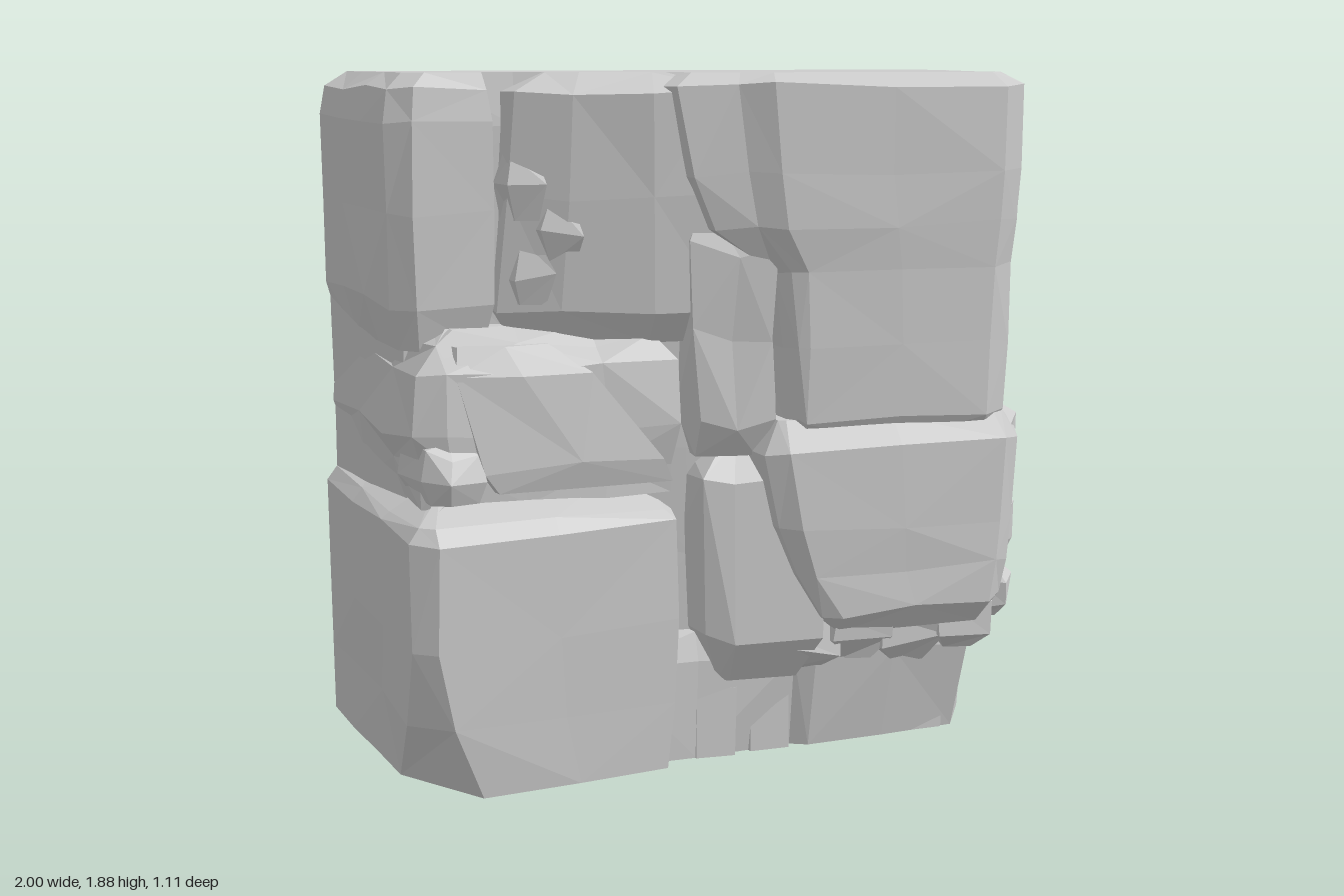
import * as THREE from 'three';

const BACK = -0.56;
const lerp = THREE.MathUtils.lerp;

function seeded(seed) {
  let s = seed * 7919 + 17;
  return () => ((s = (s * 16807) % 2147483647) / 2147483647) * 2 - 1;
}

// Split every edge of a pair of matching outlines into short pieces
function subdivide(low, high, step) {
  const out = [];
  low.forEach((p, i) => {
    const k = (i + 1) % low.length, q = low[k];
    const flatBack = p[1] <= BACK && q[1] <= BACK;
    const n = flatBack ? 1 : Math.max(1, Math.round(Math.hypot(q[0] - p[0], q[1] - p[1]) / step));
    for (let j = 0; j < n; j++) {
      const t = j / n;
      out.push([0, 1].map(c => [lerp(p[c], q[c], t), lerp(high[i][c], high[k][c], t)]));
    }
  });
  return out;
}

// Push an outline inwards along its mitred corner normals
function insetRing(ring, d) {
  const n = ring.length;
  const normal = (a, b) => {
    const l = Math.hypot(b[0] - a[0], b[1] - a[1]) || 1;
    return [-(b[1] - a[1]) / l, (b[0] - a[0]) / l];
  };
  return ring.map((p, i) => {
    const a = normal(ring[(i + n - 1) % n], p), b = normal(p, ring[(i + 1) % n]);
    const m = Math.max(0.5, 1 + a[0] * b[0] + a[1] * b[1]);
    return [p[0] - d * (a[0] + b[0]) / m, p[1] - d * (a[1] + b[1]) / m];
  });
}

// Faceted stone: plan outline (x, z) from back left round the front to back right,
// levels of [y, inset, optional blend towards the top outline]
function stone(name, low, levels, { high = low, rough = 0.012, step = 0.24, seed = 1 } = {}) {
  const rnd = seeded(seed), plan = subdivide(low, high, step), n = plan.length;
  const y0 = levels[0][0], y1 = levels[levels.length - 1][0];
  const full = levels.map(([y, d, t = (y - y0) / (y1 - y0)]) => [y, d, t]);
  const rows = [];
  full.forEach((level, i) => {
    if (i) {
      const prev = full[i - 1], k = Math.max(1, Math.round((level[0] - prev[0]) / 0.3));
      for (let j = 1; j < k; j++) rows.push(level.map((v, c) => lerp(prev[c], v, j / k)));
    }
    rows.push(level);
  });
  const pos = [], idx = [];
  rows.forEach(([y, d, t], i) => {
    const end = i === 0 || i === rows.length - 1;
    const ring = insetRing(plan.map(([x, z]) => [lerp(x[0], x[1], t), lerp(z[0], z[1], t)]), d);
    ring.forEach(([x, z], j) => {
      const pinned = plan[j][1][0] <= BACK;
      const r = pinned ? 0.3 * rough : rough;
      const jx = rnd() * r, jy = rnd() * r * 2, jz = rnd() * r;
      pos.push(THREE.MathUtils.clamp(x + jx, -1, 1), end ? y : Math.min(y + jy, 1.875), pinned ? BACK : z + jz);
    });
  });
  for (let i = 0; i < rows.length - 1; i++) {
    for (let j = 0; j < n; j++) {
      const a = i * n + j, b = i * n + (j + 1) % n;
      if ((i + j) % 2) idx.push(a, b, b + n, a, b + n, a + n);
      else idx.push(a, b, a + n, b, b + n, a + n);
    }
  }
  const cap = (row, flip) => {
    const o = row * n, pts = [];
    for (let j = 0; j < n; j++) pts.push(new THREE.Vector2(pos[(o + j) * 3], -pos[(o + j) * 3 + 2]));
    THREE.ShapeUtils.triangulateShape(pts, []).forEach(([a, b, c]) => {
      idx.push(o + a, o + (flip ? c : b), o + (flip ? b : c));
    });
  };
  cap(0, true);
  cap(rows.length - 1, false);
  let geo = new THREE.BufferGeometry();
  geo.setAttribute('position', new THREE.Float32BufferAttribute(pos, 3));
  geo.setIndex(idx);
  geo = geo.toNonIndexed();
  geo.computeVertexNormals();
  const mesh = new THREE.Mesh(geo, new THREE.MeshStandardMaterial({ color: 0xcccccc, flatShading: true }));
  mesh.name = name;
  return mesh;
}

export function createModel() {
  const g = new THREE.Group();
  g.name = 'rockCliff';
  const add = (...args) => g.add(stone(...args));

  // Inner mass with the flat back and the top
  add('core', [[-0.97, BACK], [-0.92, 0], [-0.62, 0.08], [-0.2, 0.24], [0, 0.32], [0.58, 0.38], [0.67, 0.2], [0.76, -0.05], [0.92, BACK]],
    [[0.02, 0.03, 0], [0.3, 0, 0], [1.75, 0, 0], [1.88, 0.01, 1]],
    { high: [[-0.9, BACK], [-0.88, 0], [-0.62, 0.07], [-0.2, 0.22], [0, 0.32], [0.58, 0.38], [0.67, 0.2], [0.76, -0.05], [0.92, BACK]], seed: 3, rough: 0.008 });

  // Foot under the overhang
  add('base', [[-0.98, BACK], [-0.95, 0], [-0.7, 0.22], [-0.2, 0.28], [0.08, 0.3], [0.13, 0.33], [0.59, 0.36], [0.69, 0.23], [0.77, -0.02], [0.93, BACK]],
    [[0, 0], [0.28, 0], [0.36, 0.03]],
    { high: [[-0.98, BACK], [-0.95, 0], [-0.7, 0.22], [-0.2, 0.3], [0.08, 0.36], [0.13, 0.39], [0.6, 0.44], [0.7, 0.25], [0.77, -0.02], [0.93, BACK]], seed: 5, rough: 0.006 });

  // Left side, stacked in three beds
  add('lowerLeftBlock', [[-1, BACK], [-0.98, 0.05], [-0.82, 0.31], [-0.3, 0.32], [-0.28, 0], [-0.28, BACK]],
    [[0, 0, 0], [0.2, 0, 0.7], [0.42, 0, 1], [0.7, 0, 1], [0.735, 0.03, 1], [0.8, 0.17, 1]],
    { high: [[-1, BACK], [-1, 0.28], [-0.94, 0.33], [-0.28, 0.34], [-0.21, 0.1], [-0.21, BACK]], seed: 7, rough: 0.006 });
  add('middleLeftBlock', [[-0.97, BACK], [-0.95, 0.18], [-0.88, 0.23], [-0.45, 0.27], [-0.24, 0.29], [-0.2, 0], [-0.2, BACK]],
    [[0.76, 0.03], [0.86, 0.02], [0.94, 0], [1.11, 0.01], [1.17, 0.06], [1.22, 0.13]], { seed: 11, rough: 0.014 });
  add('middleLeftShard', [[-0.8, 0], [-0.76, 0.26], [-0.5, 0.29], [-0.26, 0.31], [-0.22, 0]],
    [[0.8, 0.02], [0.86, 0], [1.1, 0.01], [1.18, 0.06]],
    { high: [[-0.92, 0], [-0.88, 0.22], [-0.72, 0.26], [-0.54, 0.27], [-0.47, 0]], seed: 12, rough: 0.008 });
  add('middleLeftLump', [[-0.95, 0], [-0.94, 0.22], [-0.88, 0.27], [-0.78, 0.26], [-0.74, 0]],
    [[0.78, 0.02], [0.84, 0], [0.91, 0.02], [0.94, 0.06]], { seed: 14, rough: 0.008 });
  add('upperLeftColumn', [[-0.98, BACK], [-0.97, 0.04], [-0.91, 0.1], [-0.7, 0.12], [-0.67, 0], [-0.64, BACK]],
    [[1.16, 0.03, 0], [1.28, 0, 0], [1.76, 0, 0], [1.84, 0.01, 0.1], [1.88, 0.02, 1]],
    { high: [[-0.92, BACK], [-0.92, 0.02], [-0.87, 0.09], [-0.7, 0.11], [-0.67, 0], [-0.64, BACK]], seed: 13, rough: 0.006 });

  // Broken panel between the left column and the big slab
  add('upperPanel', [[-0.68, -0.2], [-0.7, 0.12], [-0.55, 0.2], [-0.32, 0.29], [-0.12, 0.33], [-0.1, -0.2]],
    [[1.17, 0.05, 0], [1.27, 0, 0], [1.55, 0, 0.6], [1.83, 0, 1], [1.88, 0.11, 1]],
    { high: [[-0.66, -0.2], [-0.66, 0.16], [-0.52, 0.25], [-0.33, 0.33], [-0.16, 0.37], [-0.1, -0.2]], seed: 17, rough: 0.01 });
  [[-0.62, 1.36, 0.19], [-0.63, 1.58, 0.19], [-0.55, 1.47, 0.23]].forEach(([x, y, z], i) =>
    add('panelChip', [[x - 0.06, z - 0.12], [x - 0.05, z - 0.02], [x + 0.05, z + 0.02], [x + 0.07, z - 0.12]],
      [[y - 0.08, 0.02], [y, 0], [y + 0.09, 0.03]], { seed: 20 + i, rough: 0.009 }));

  // Big front slab, its left edge following the bent crack
  add('crackFiller', [[-0.24, 0], [-0.22, 0.32], [-0.02, 0.4], [0.1, 0]],
    [[0.86, 0.03], [0.95, 0], [1.42, 0], [1.56, 0.03]], { seed: 29, rough: 0.015, step: 0.12 });
  add('upperSlab', [[0.03, 0], [0.01, 0.38], [0.03, 0.43], [0.06, 0.45], [0.58, 0.53], [0.65, 0.5], [0.71, 0.42], [0.72, 0]],
    [[0.88, 0.05, 0], [0.96, 0.01, 0], [1.15, 0, 0], [1.36, 0, 0.08], [1.48, 0, 0.65], [1.62, 0, 0.85], [1.85, 0, 1], [1.88, 0.07, 1]],
    { high: [[-0.33, 0], [-0.29, 0.37], [-0.13, 0.41], [-0.05, 0.46], [0.6, 0.55], [0.67, 0.52], [0.73, 0.43], [0.74, 0]], seed: 31, rough: 0.005 });
  add('lowerSlab', [[0.12, 0], [0.11, 0.45], [0.15, 0.48], [0.59, 0.54], [0.65, 0.5], [0.71, 0.42], [0.7, 0]],
    [[0.35, 0.06, 0], [0.42, 0, 0], [0.53, 0, 0.45], [0.66, 0, 0.75], [0.88, 0, 1], [0.96, 0.05, 1]],
    { high: [[-0.08, 0], [-0.06, 0.42], [0, 0.46], [0.62, 0.55], [0.68, 0.52], [0.73, 0.43], [0.72, 0]], seed: 33, rough: 0.006 });
  add('lowerWedge', [[-0.22, 0], [-0.2, 0.33], [-0.12, 0.37], [0.12, 0.43], [0.18, 0]],
    [[0.22, 0.06], [0.36, 0], [0.8, 0], [0.89, 0.08]], { seed: 37, rough: 0.012 });

  // Broken ledge under the lower slab
  [[0.1, 0.33, 0.4], [0.25, 0.35, 0.44], [0.41, 0.32, 0.45], [0.56, 0.35, 0.48]].forEach(([x, y, z], i) =>
    add('ledgeChip', [[x - 0.12, z - 0.2], [x - 0.1, z - 0.01], [x + 0.08, z + 0.02], [x + 0.12, z - 0.2]],
      [[y - 0.09, 0.05], [y - 0.02, 0], [y + 0.06, 0], [y + 0.1, 0.04]], { seed: 40 + i, rough: 0.014 }));

  // Upright ribs at the foot
  [-0.14, 0.02, 0.19, 0.36, 0.5].forEach((x, i) =>
    add('footRib', [[x - 0.07, 0.1], [x - 0.06, 0.29 + 0.016 * i], [x + 0.05, 0.31 + 0.014 * i], [x + 0.06, 0.1]],
      [[0, 0], [0.2, 0], [0.28, 0.02]], { seed: 50 + i, rough: 0.004 }));

  // Right side: a middle rib and the rear mass, divided by cracks
  add('rightRibUpper', [[0.5, -0.25], [0.5, 0.01], [0.74, 0.01], [0.79, -0.03], [0.85, -0.14], [0.86, -0.25]],
    [[0.92, 0.03, 0], [1.02, 0, 0], [1.15, 0, 0.2], [1.36, 0, 0.6], [1.58, 0, 1], [1.83, 0, 1], [1.88, 0.04, 1]],
    { high: [[0.5, -0.25], [0.5, 0.18], [0.73, 0.18], [0.78, 0.1], [0.87, -0.11], [0.9, -0.25]], seed: 61, rough: 0.008 });
  add('rightRibLower', [[0.5, -0.4], [0.5, 0.01], [0.74, 0.01], [0.79, -0.04], [0.88, -0.36]],
    [[0.26, 0.01], [0.34, 0], [0.64, 0], [0.76, 0.02], [0.84, 0], [0.98, 0.04]],
    { high: [[0.5, -0.4], [0.5, 0.1], [0.75, 0.1], [0.81, 0], [0.92, -0.36]], seed: 63, rough: 0.012 });
  add('rearRightUpper', [[0.3, BACK], [0.3, -0.17], [0.87, -0.17], [0.93, -0.21], [0.95, -0.32], [0.98, BACK]],
    [[0.94, 0.03], [1.04, 0], [1.78, 0], [1.85, 0.01], [1.88, 0.06]],
    { high: [[0.3, BACK], [0.3, -0.12], [0.88, -0.12], [0.95, -0.17], [0.98, -0.32], [1, BACK]], seed: 67, rough: 0.008 });
  add('rearRightLower', [[0.3, BACK], [0.3, -0.36], [0.86, -0.34], [0.9, -0.42], [0.94, BACK]],
    [[0.24, 0.01], [0.3, 0], [0.85, 0], [0.97, 0.015]],
    { high: [[0.3, BACK], [0.3, -0.2], [0.87, -0.2], [0.93, -0.28], [0.98, BACK]], seed: 71, rough: 0.01 });

  // Corner chips along the right edge of the slabs
  [[0.42, 0.07], [0.6, 0.1], [0.84, 0.11]].forEach(([y, h], i) =>
    add('cornerChip', [[0.56, 0.15], [0.6, 0.46], [0.66, 0.5], [0.73, 0.43], [0.73, 0.12]],
      [[y - h, 0.025], [y - 0.4 * h, 0], [y + 0.7 * h, 0], [y + h, 0.03]], { seed: 80 + i, rough: 0.008 }));
  return g;
}
